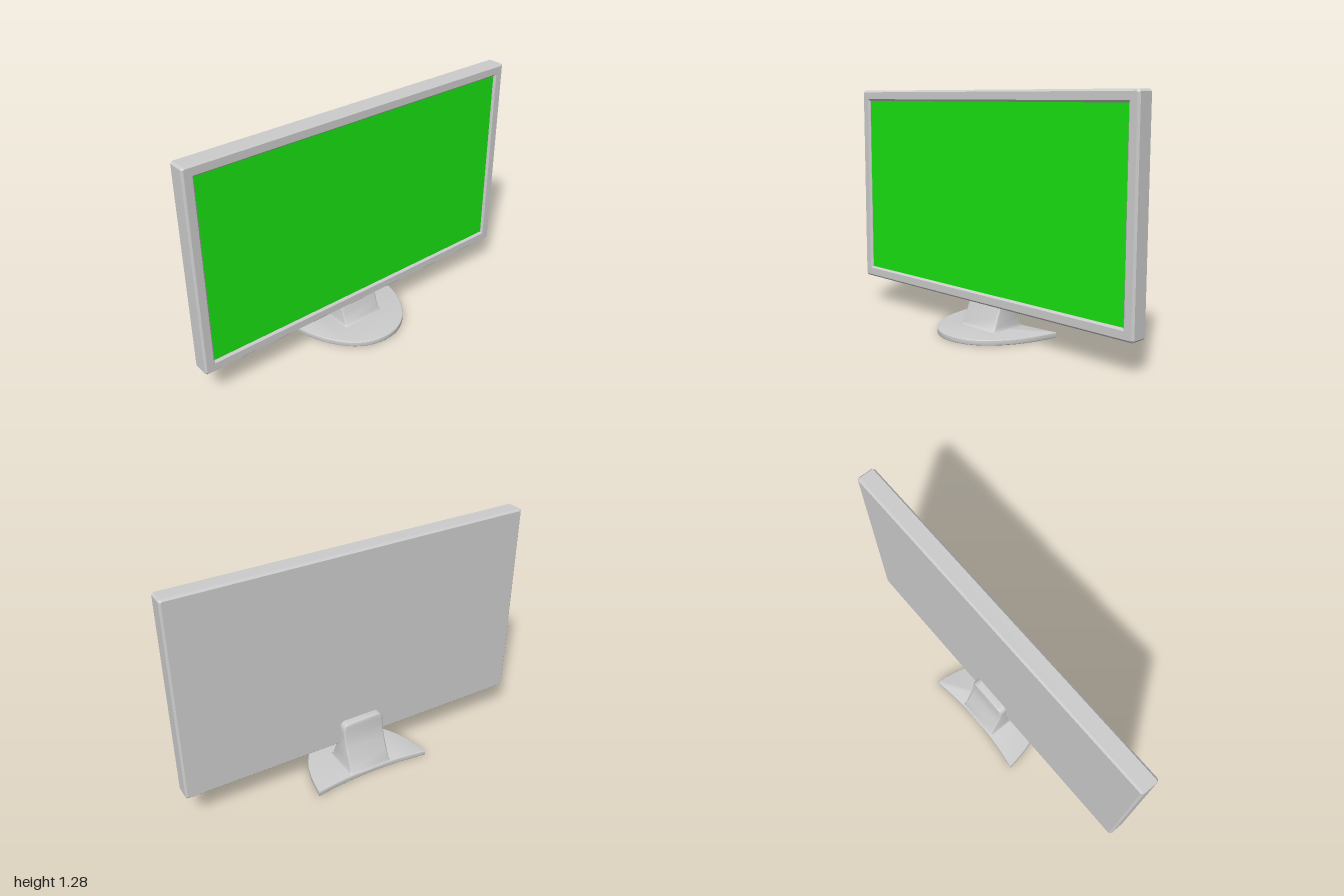
import * as THREE from 'three';
import { toCreasedNormals, mergeVertices } from 'three/addons/utils/BufferGeometryUtils.js';

const grey = new THREE.MeshStandardMaterial({ color: 0xcccccc });
const green = new THREE.MeshStandardMaterial({ color: 0x18e010 });

function part(name, geometry, material = grey) {
  const mesh = new THREE.Mesh(geometry, material);
  mesh.name = name;
  return mesh;
}

// Rectangle with slightly cut corners
function rectPoints(w, h, c) {
  return [
    [w - c, -h], [w, -h + c], [w, h - c], [w - c, h],
    [-w + c, h], [-w, h - c], [-w, -h + c], [-w + c, -h],
  ].map(([x, y]) => new THREE.Vector2(x, y));
}

function createPanel() {
  const panel = new THREE.Group();
  panel.name = 'panel';

  // Bezel with bevelled outer edge and sloping inner lip
  const outline = new THREE.Shape(rectPoints(0.99, 0.55, 0.005));
  outline.holes.push(new THREE.Path([
    [-0.95, -0.51], [-0.95, 0.51], [0.95, 0.51], [0.95, -0.51],
  ].map(([x, y]) => new THREE.Vector2(x, y))));
  const bezel = new THREE.ExtrudeGeometry(outline, {
    depth: 0.08, bevelThickness: 0.01, bevelSize: 0.01, bevelSegments: 1,
  });
  bezel.translate(0, 0, -0.065);
  panel.add(part('bezel', bezel));

  // Back cover closes the bezel, flush with its rear face
  const back = part('backCover', new THREE.BoxGeometry(1.9, 1.02, 0.05));
  back.position.z = -0.05;
  panel.add(back);

  const screen = part('screen', new THREE.PlaneGeometry(1.89, 1.01), green);
  screen.position.z = 0.012;
  panel.add(screen);

  panel.position.y = 0.725;
  return panel;
}

// Foot: rounded front, concave rear edge
function createFoot() {
  const side = [[0.335, -0.22], [0.308, -0.08], [0.265, 0.03], [0.19, 0.135], [0.1, 0.197]];
  const points = [...side, [0, 0.217], ...side.map(([x, z]) => [-x, z]).reverse()]
    .map(([x, z]) => new THREE.Vector2(x, -z));
  const shape = new THREE.Shape();
  shape.moveTo(points[0].x, points[0].y);
  shape.quadraticCurveTo(0, 0.163, -0.335, 0.22);
  shape.splineThru(points.slice(0, -1).reverse());
  const geometry = new THREE.ExtrudeGeometry(shape, {
    depth: 0.02, bevelThickness: 0.005, bevelSize: 0.004, bevelSegments: 3, curveSegments: 48,
  });
  geometry.rotateX(-Math.PI / 2).translate(0, 0.005, 0);
  return part('foot', toCreasedNormals(geometry, 0.6));
}

// Neck: rounded rectangular sections lofted upward
function createNeck() {
  // height, half width, front z, rear z
  const sections = [
    [0.024, 0.132, 0.045, -0.198], [0.032, 0.126, 0.026, -0.192], [0.045, 0.123, 0.016, -0.186],
    [0.1, 0.122, -0.006, -0.163], [0.165, 0.122, -0.031, -0.137], [0.2, 0.122, -0.042, -0.126],
    [0.24, 0.122, -0.05, -0.12], [0.275, 0.122, -0.05, -0.117], [0.291, 0.119, -0.05, -0.116],
    [0.302, 0.112, -0.05, -0.115], [0.308, 0.102, -0.05, -0.114], [0.31, 0.09, -0.05, -0.112],
  ];
  const positions = [];
  const indices = [];
  const steps = 4;
  const ring = 4 * (steps + 1);
  const r = 0.012;
  for (const [y, w, front, rear] of sections) {
    for (let c = 0; c < 4; c++) {
      const cx = (c === 0 || c === 3 ? 1 : -1) * (w - r);
      const cz = c < 2 ? front - r : rear + r;
      for (let i = 0; i <= steps; i++) {
        const a = (c + i / steps) * Math.PI / 2;
        positions.push(cx + r * Math.cos(a), y, cz + r * Math.sin(a));
      }
    }
  }
  for (let s = 0; s < sections.length - 1; s++) {
    for (let i = 0; i < ring; i++) {
      const a = s * ring + i;
      const b = s * ring + (i + 1) % ring;
      indices.push(a, a + ring, b, b, a + ring, b + ring);
    }
  }
  // Flat top
  const top = (sections.length - 1) * ring;
  for (let i = 1; i < ring - 1; i++) indices.push(top, top + i + 1, top + i);

  const geometry = new THREE.BufferGeometry();
  geometry.setAttribute('position', new THREE.Float32BufferAttribute(positions, 3));
  geometry.setIndex(indices);
  return part('neck', toCreasedNormals(mergeVertices(geometry), 0.7));
}

export function createModel() {
  const model = new THREE.Group();
  model.name = 'monitor';
  const stand = new THREE.Group();
  stand.name = 'stand';
  stand.add(createFoot(), createNeck());
  stand.position.x = -0.004;
  model.add(createPanel(), stand);
  return model;
}
